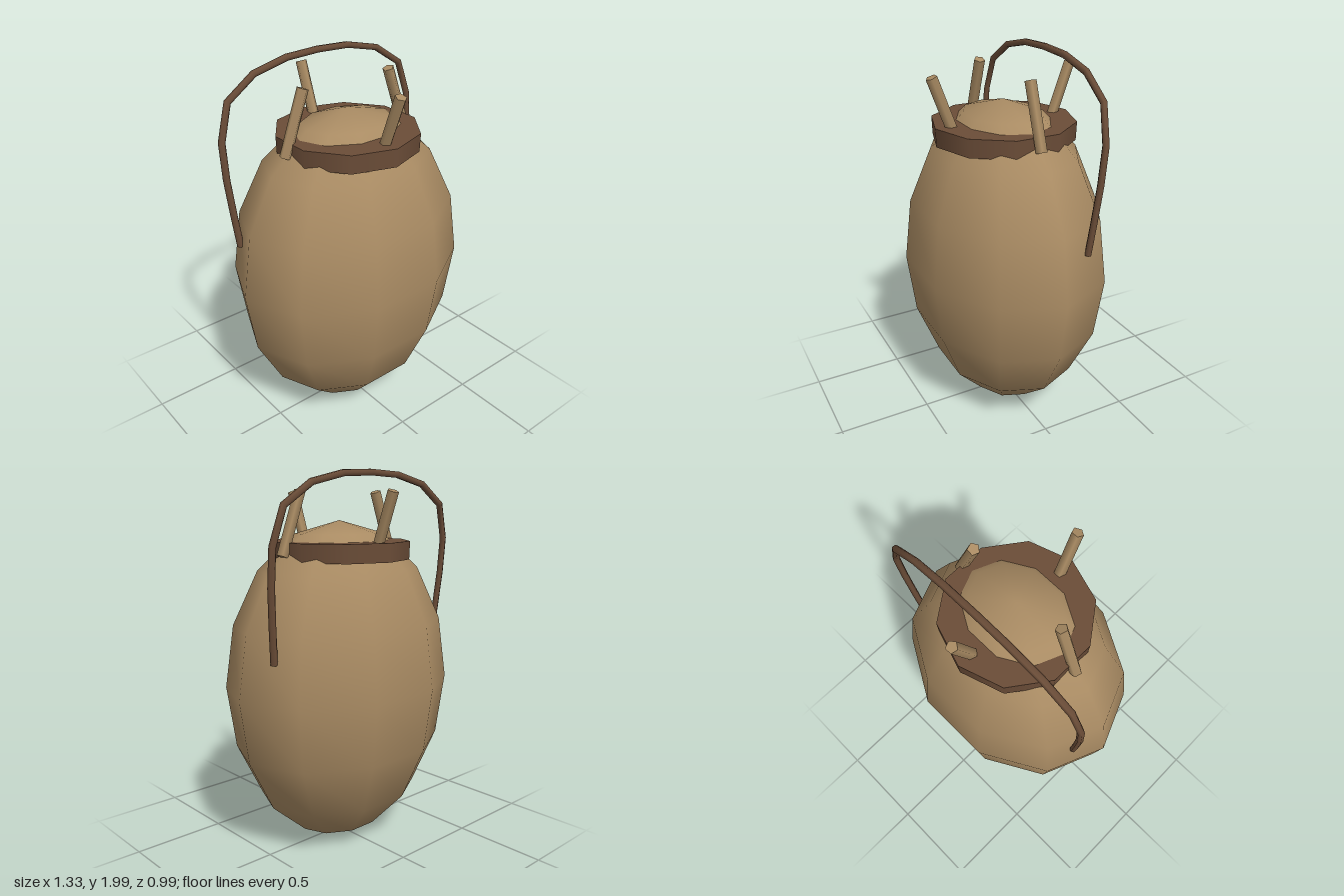
import * as THREE from 'three';

const tan = new THREE.MeshStandardMaterial({ name: 'tan', color: 0xa98b63 });
const brown = new THREE.MeshStandardMaterial({ name: 'brown', color: 0x6b4d38 });

export function createModel() {
  const model = new THREE.Group();
  model.name = 'basketPot';
  const add = (name, geometry, material) => {
    const mesh = new THREE.Mesh(geometry, material);
    mesh.name = name;
    model.add(mesh);
    return mesh;
  };

  // Egg-shaped body, flattened front to back
  const body = add('body', new THREE.SphereGeometry(1, 10, 8), tan);
  body.scale.set(0.665, 0.87, 0.52);
  body.position.y = 0.875;

  // Collar around the neck; the top of the body pokes through it
  const collar = add('collar', new THREE.CylinderGeometry(0.375, 0.372, 0.095, 10), brown);
  collar.position.y = 1.593;

  // Four pegs: the side pair leans inward, the front and back pair outward
  const pegGeometry = new THREE.CylinderGeometry(0.03, 0.03, 0.34, 5);
  for (const s of [1, -1]) {
    const side = add(s > 0 ? 'leftPeg' : 'rightPeg', pegGeometry, tan);
    side.position.set(s * 0.325, 1.732, 0);
    side.rotation.z = s * 0.35;
    const end = add(s > 0 ? 'frontPeg' : 'backPeg', pegGeometry, tan);
    end.position.set(0, 1.732, s * 0.325);
    end.rotation.x = s * 0.35;
  }

  // Carrying strap arched over the back, leaning slightly backward
  const half = [[0.572, 1.08], [0.588, 1.26], [0.602, 1.45], [0.602, 1.64],
    [0.545, 1.825], [0.385, 1.93], [0.19, 1.974]];
  const outline = [...half, [0, 1.982], ...half.map(([x, y]) => [-x, y]).reverse()];
  const curve = new THREE.CatmullRomCurve3(
    outline.map(([x, y]) => new THREE.Vector3(x, y, -0.165 - (y - 1.08) * 0.078)));
  curve.getUtoTmapping = (u) => u; // one tube ring on each point
  add('strap', new THREE.TubeGeometry(curve, outline.length - 1, 0.018, 6), brown);

  return model;
}
